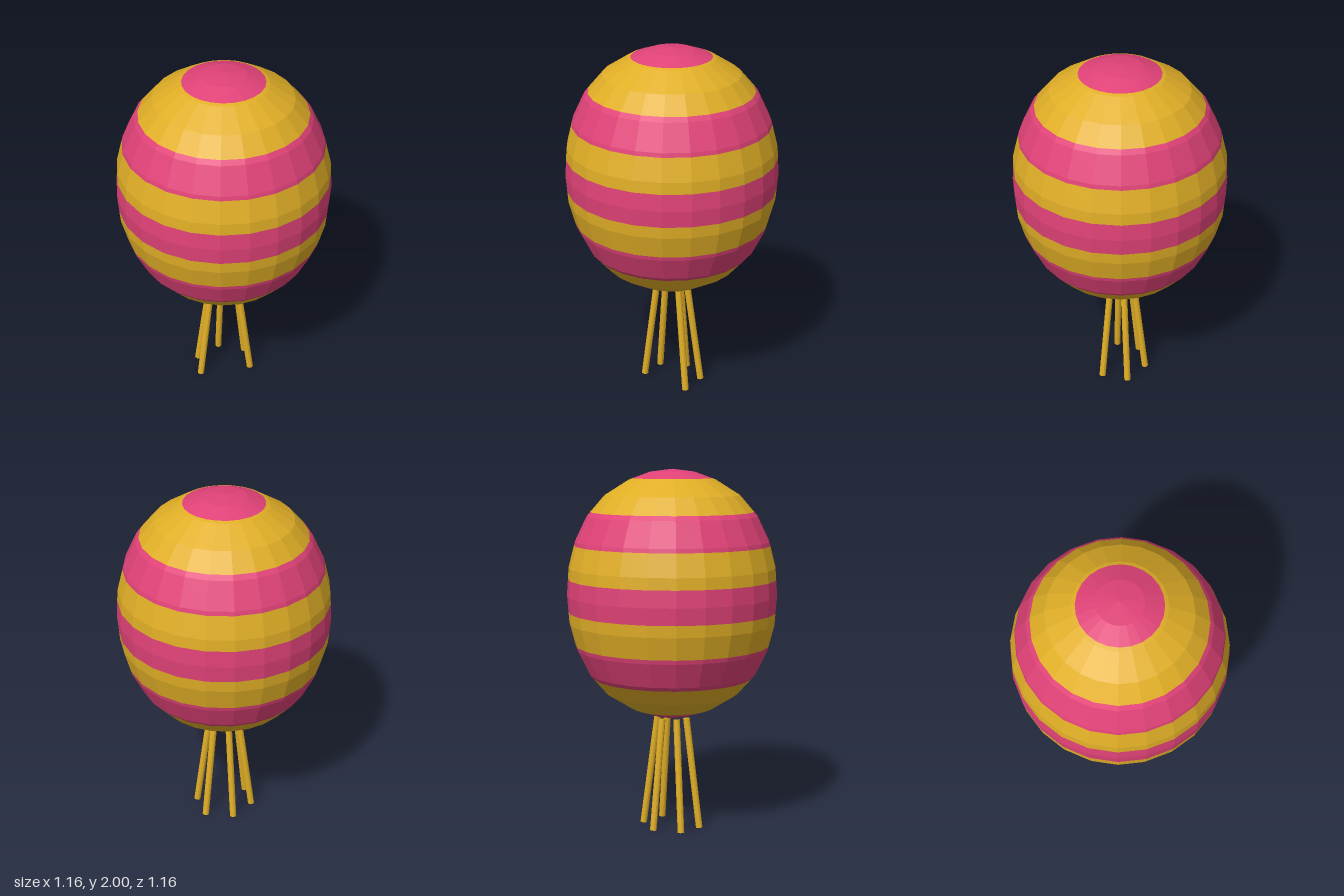
import * as THREE from 'three';

const pink = new THREE.MeshStandardMaterial({ color: 0xe04277, flatShading: true });
pink.name = 'pink';
const gold = new THREE.MeshStandardMaterial({ color: 0xe0ae26, flatShading: true });
gold.name = 'gold';

// Faceted egg profile: [radius, height above the middle], upper half
const MID = 1.317;
const upper = [[0.578, 0], [0.567, 0.152], [0.53, 0.295], [0.465, 0.43], [0.367, 0.543], [0.235, 0.626], [0.12, 0.668], [0, 0.683]];
const profile = [
  ...upper.slice(1).reverse().map(([r, h]) => new THREE.Vector2(r, MID - h)),
  ...upper.map(([r, h]) => new THREE.Vector2(r, MID + h)),
];

// Point on the profile at height y
function profileAt(y) {
  const i = Math.max(1, profile.findIndex((p) => p.y >= y));
  const a = profile[i - 1], b = profile[i];
  return a.clone().lerp(b, (y - a.y) / (b.y - a.y));
}

// Straight round stick between two points
function stick(from, to, radius) {
  const dir = to.clone().sub(from);
  const mesh = new THREE.Mesh(new THREE.CylinderGeometry(radius, radius, dir.length(), 12), gold);
  mesh.position.copy(from).add(to).multiplyScalar(0.5);
  mesh.quaternion.setFromUnitVectors(new THREE.Vector3(0, 1, 0), dir.normalize());
  return mesh;
}

export function createModel() {
  const model = new THREE.Group();
  model.name = 'stripedBalloon';

  // Body, cut into alternating stripes from bottom to top
  const body = new THREE.Group();
  body.name = 'body';
  const cuts = [profile[0].y, 0.685, 0.865, 1.045, 1.228, 1.407, 1.59, 1.77, 1.95, 2.0];
  for (let i = 0; i < cuts.length - 1; i++) {
    const lo = cuts[i], hi = cuts[i + 1];
    const points = [
      profileAt(lo),
      ...profile.filter((p) => p.y > lo + 0.002 && p.y < hi - 0.002),
      profileAt(Math.min(hi, profile[profile.length - 1].y)),
    ];
    const stripe = new THREE.Mesh(new THREE.LatheGeometry(points, 24), i % 2 ? gold : pink);
    stripe.name = `stripe${i + 1}`;
    body.add(stripe);
  }
  model.add(body);

  // Splayed sticks below the body: top x, z and bottom x, z
  const legs = [
    [-0.08, 0, -0.163, 0],
    [-0.055, 0.065, -0.105, 0.126],
    [-0.036, -0.07, -0.076, -0.135],
    [0.045, -0.073, 0.086, -0.145],
    [0.08, -0.003, 0.161, -0.012],
  ];
  legs.forEach(([tx, tz, bx, bz], i) => {
    const leg = stick(new THREE.Vector3(bx, 0.003, bz), new THREE.Vector3(tx, 0.628, tz), 0.019);
    leg.name = `leg${i + 1}`;
    model.add(leg);
  });

  return model;
}
